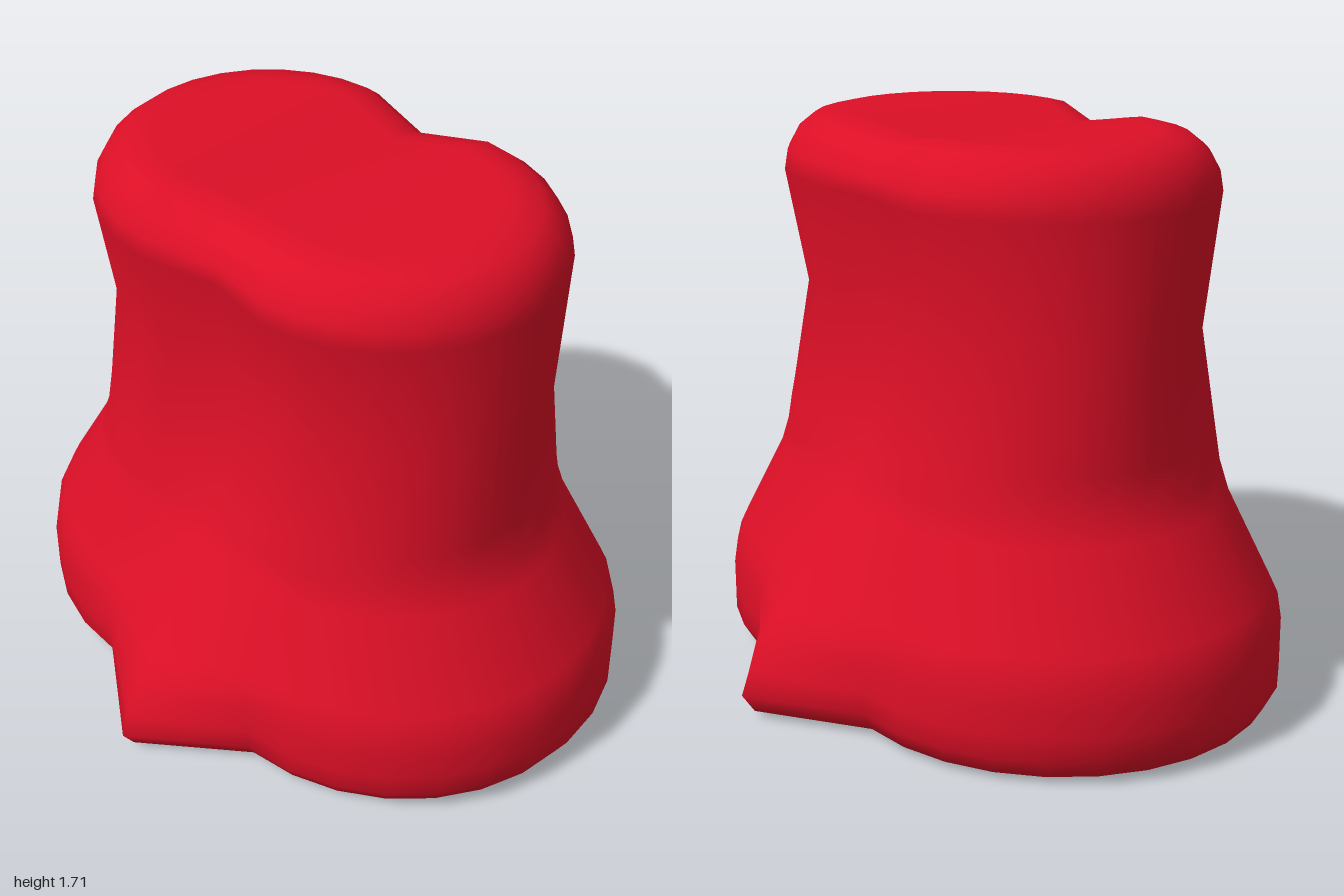
import * as THREE from 'three';

const QUARTER = 7; // segments in each rounded quarter of an outline
const COUNT = 4 * (QUARTER + 1); // points in one outline

// One horizontal outline: rounded ends of half-width hx and half-depth r,
// joined by straight edges to a middle point at depth cz (lowered by drop).
function outline([y, hx, r, cz, drop = 0]) {
  const cx = 0.235 + Math.max(0, hx - 0.755) * 0.3;
  const mid = Math.min(cx, hx * 0.4);
  const quarter = [];
  for (let i = 0; i <= QUARTER; i++) {
    const t = (i / QUARTER) * Math.PI / 2;
    quarter.push([mid + (hx - mid) * Math.cos(t), y, r * Math.sin(t)]);
  }
  const left = quarter.map(([x, h, z]) => [-x, h, z]).reverse();
  const front = [...quarter, [0, y - drop, cz], ...left];
  const back = front.slice(1, -1).reverse().map(([x, h, z]) => [x, h, -z]);
  return [...front, ...back];
}

// Skin the outlines in order and close both ends across the depth.
function loft(sections) {
  const positions = sections.flatMap(outline).flat();
  const index = [];
  for (let j = 0; j < sections.length - 1; j++) {
    for (let i = 0; i < COUNT; i++) {
      const k = (i + 1) % COUNT;
      const a = j * COUNT + i, b = j * COUNT + k;
      index.push(a, a + COUNT, b, b, a + COUNT, b + COUNT);
    }
  }
  const last = (sections.length - 1) * COUNT;
  for (let i = 0; i < COUNT / 2; i++) {
    const m = (COUNT - i) % COUNT, n = COUNT - i - 1;
    index.push(i, i + 1, m, m, i + 1, n); // cavity ceiling
    index.push(last + i, last + m, last + i + 1, last + m, last + n, last + i + 1); // top
  }
  const geometry = new THREE.BufferGeometry();
  geometry.setAttribute('position', new THREE.Float32BufferAttribute(positions, 3));
  geometry.setIndex(index);
  geometry.computeVertexNormals();
  return geometry;
}

export function createModel() {
  const red = new THREE.MeshStandardMaterial({ color: 0xdc0f26 });
  red.name = 'red';

  // Each section: height, half-width, half-depth, middle depth, middle drop
  const cavity = [
    [1.50, 0.50, 0.26, 0.21],
    [1.46, 0.56, 0.32, 0.26],
    [1.155, 0.56, 0.24, 0.19],
    [0.82, 0.56, 0.32, 0.26],
    [0.63, 0.61, 0.35, 0.35],
    [0.37, 0.75, 0.44, 0.50],
    [0.24, 0.79, 0.47, 0.58],
    [0.08, 0.79, 0.47, 0.64],
    [0.03, 0.81, 0.49, 0.67],
  ];
  const skirt = [
    [0.00, 0.86, 0.54, 0.73],
    [0.00, 0.91, 0.59, 0.80],
    [0.02, 0.965, 0.645, 0.87],
    [0.08, 1.00, 0.68, 0.91],
    [0.15, 1.00, 0.68, 0.885],
    [0.24, 1.00, 0.68, 0.845],
    [0.32, 0.985, 0.67, 0.775],
    [0.37, 0.96, 0.65, 0.72],
    [0.63, 0.805, 0.55, 0.545],
  ];
  const trunk = [
    [0.72, 0.77, 0.53, 0.50],
    [0.82, 0.755, 0.515, 0.46],
    [1.155, 0.755, 0.43, 0.375],
    [1.53, 0.755, 0.515, 0.46, 0.01],
    [1.59, 0.745, 0.505, 0.45, 0.02],
    [1.65, 0.715, 0.47, 0.415, 0.03],
    [1.69, 0.665, 0.42, 0.365, 0.036],
    [1.705, 0.60, 0.36, 0.305, 0.038],
    [1.705, 0.56, 0.32, 0.265, 0.038],
  ];

  const body = new THREE.Mesh(loft([...cavity, ...skirt, ...trunk]), red);
  body.name = 'hollowBody';

  const group = new THREE.Group();
  group.name = 'flaredCap';
  group.add(body);
  return group;
}
